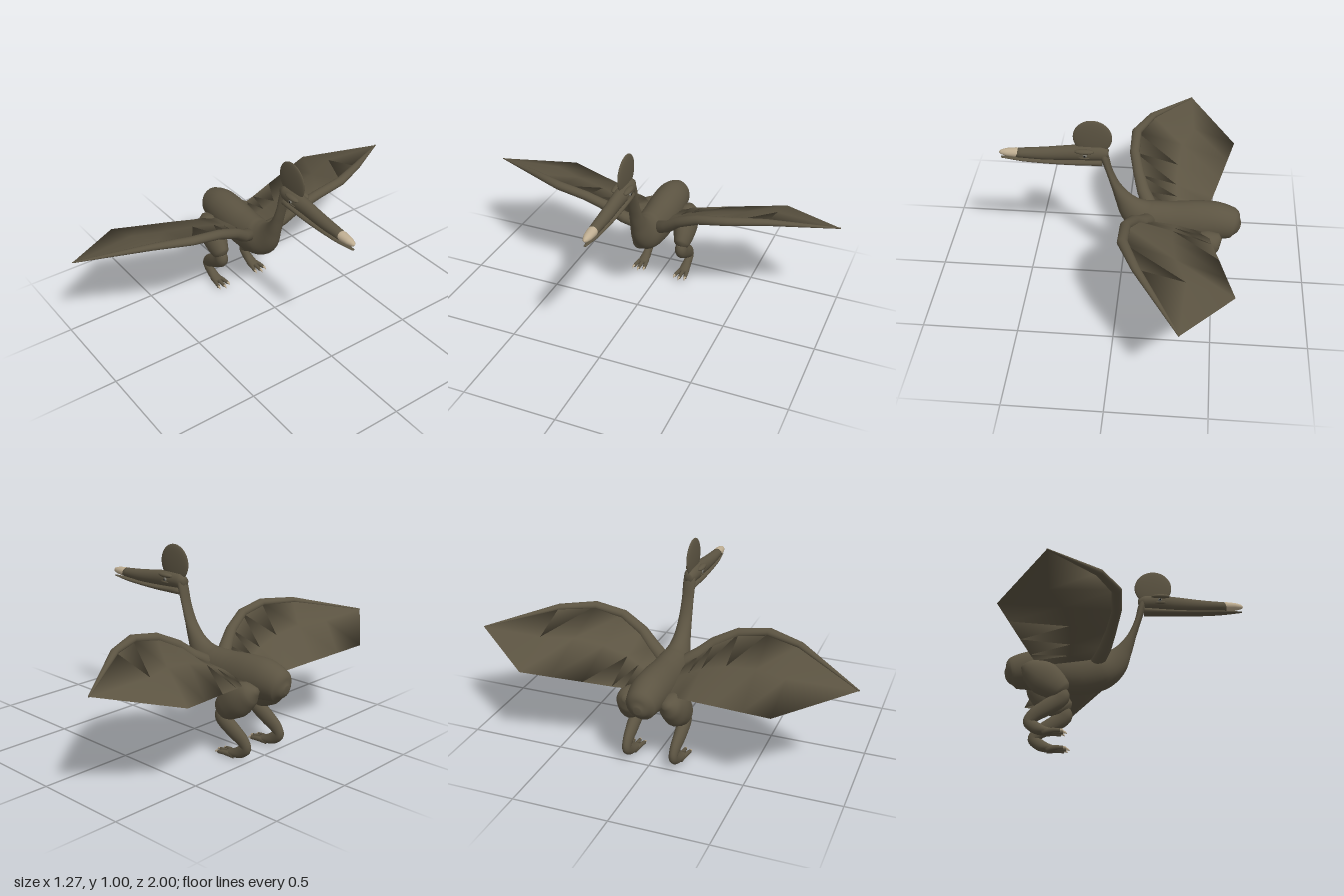
import * as THREE from 'three';

const mat = (name, color) => {
  const m = new THREE.MeshStandardMaterial({ color });
  m.name = name;
  return m;
};

// Joins rings of vertices into a closed smooth skin with end caps.
function ringGeometry(pts, rows, cols) {
  const idx = [];
  for (let i = 0; i < rows - 1; i++) {
    for (let j = 0; j < cols; j++) {
      const k = (j + 1) % cols;
      const a = i * cols + j, b = i * cols + k, c = a + cols, d = b + cols;
      idx.push(a, b, c, b, d, c);
    }
  }
  const first = rows * cols, last = first + 1, end = (rows - 1) * cols;
  for (let j = 0; j < cols; j++) {
    const k = (j + 1) % cols;
    idx.push(first, k, j, last, end + j, end + k);
  }
  const g = new THREE.BufferGeometry();
  g.setAttribute('position', new THREE.Float32BufferAttribute(pts.flatMap(p => p.toArray()), 3));
  g.setIndex(idx);
  g.computeVertexNormals();
  return g;
}

const SIDE = new THREE.Vector3(0, 0, 1), UP = new THREE.Vector3(0, 1, 0);

// Elliptical sections [x, y, z, radius, radius along ref] swept along a smooth path.
function loft(sections, { steps = 5, sides = 20, ref = SIDE } = {}) {
  const path = new THREE.CatmullRomCurve3(sections.map(s => new THREE.Vector3(s[0], s[1], s[2])));
  const radii = new THREE.CatmullRomCurve3(sections.map(s => new THREE.Vector3(s[3], s[4], 0)));
  const n = (sections.length - 1) * steps, pts = [];
  for (let i = 0; i <= n; i++) {
    const c = path.getPoint(i / n), r = radii.getPoint(i / n), t = path.getTangent(i / n);
    const normal = ref.clone().cross(t).normalize(), lateral = t.clone().cross(normal);
    for (let j = 0; j < sides; j++) {
      const a = (j / sides) * Math.PI * 2;
      pts.push(c.clone()
        .addScaledVector(normal, Math.max(r.x, 0.001) * Math.cos(a))
        .addScaledVector(lateral, Math.max(r.y, 0.001) * Math.sin(a)));
    }
  }
  pts.push(path.getPoint(0), path.getPoint(1));
  return ringGeometry(pts, n + 1, sides);
}

// Thin lens-shaped web between a leading and a trailing edge; s is the side.
function web(leading, trailing, thickness, s) {
  const pts = [], middles = [];
  leading.forEach((l, i) => {
    const a = new THREE.Vector3(l[0], l[1], l[2] * s);
    const b = new THREE.Vector3(trailing[i][0], trailing[i][1], trailing[i][2] * s);
    const middle = a.clone().lerp(b, 0.5);
    const h = i < leading.length - 1 ? thickness * s : 0;
    pts.push(a, middle.clone().addScaledVector(UP, h), b, middle.clone().addScaledVector(UP, -h));
    middles.push(middle);
  });
  pts.push(middles[0], middles[middles.length - 1]);
  return ringGeometry(pts, leading.length, 4);
}

export function createModel() {
  const model = new THREE.Group();
  model.name = 'flyingReptile';
  const skin = mat('brown skin', 0x5c5442);
  const horn = mat('pale horn', 0xbfae92);
  const iris = mat('grey eye', 0x77756c);
  const dark = mat('dark pupil', 0x15130f);

  const add = (name, geometry, material, parent = model) => {
    const m = new THREE.Mesh(geometry, material);
    m.name = name;
    parent.add(m);
  };
  const ellipsoid = (name, [x, y, z], size, material) => {
    const g = new THREE.SphereGeometry(1, 32, 20).scale(...size).translate(x, y, z);
    add(name, g, material);
  };

  // Body and neck in one sweep
  add('bodyAndNeck', loft([
    [-0.634, 0.388, 0, 0.02, 0.02], [-0.62, 0.39, 0, 0.05, 0.045],
    [-0.592, 0.397, 0, 0.085, 0.076], [-0.5, 0.41, 0, 0.106, 0.092],
    [-0.4, 0.403, 0, 0.114, 0.095], [-0.25, 0.39, 0, 0.115, 0.09],
    [-0.135, 0.408, 0, 0.103, 0.083], [-0.067, 0.452, 0, 0.08, 0.06],
    [-0.015, 0.522, 0, 0.046, 0.043], [0.029, 0.61, 0, 0.023, 0.035],
    [0.061, 0.7, 0, 0.017, 0.032], [0.083, 0.78, 0, 0.021, 0.033],
    [0.098, 0.82, 0, 0.025, 0.03],
  ], { sides: 28 }), skin);

  // Head
  add('skullAndUpperBeak', loft([
    [0.065, 0.808, 0, 0.022, 0.02], [0.1, 0.809, 0, 0.04, 0.035],
    [0.18, 0.808, 0, 0.042, 0.039], [0.26, 0.802, 0, 0.041, 0.034],
    [0.4, 0.79, 0, 0.034, 0.031], [0.54, 0.786, 0, 0.024, 0.026],
  ]), skin);
  add('beakTip', loft([
    [0.515, 0.789, 0, 0.02, 0.022], [0.54, 0.787, 0, 0.0245, 0.0265],
    [0.59, 0.786, 0, 0.02, 0.022], [0.62, 0.785, 0, 0.012, 0.012],
    [0.63, 0.785, 0, 0.002, 0.002],
  ]), horn);
  add('lowerJaw', loft([
    [0.097, 0.756, 0, 0.021, 0.03], [0.3, 0.747, 0, 0.014, 0.028],
    [0.5, 0.749, 0, 0.01, 0.022], [0.622, 0.754, 0, 0.003, 0.007],
  ]), skin);
  ellipsoid('crest', [0.145, 0.9, 0], [0.1, 0.1, 0.014], skin);

  // Wing edges, from the body out to the shared tip
  const arm = [
    [-0.155, 0.432, 0.05, 0.04, 0.035], [-0.11, 0.48, 0.13, 0.035, 0.032],
    [-0.08, 0.54, 0.2, 0.03, 0.028], [-0.048, 0.6, 0.32, 0.027, 0.025],
    [-0.047, 0.628, 0.48, 0.027, 0.022], [-0.125, 0.622, 0.66, 0.021, 0.017],
    [-0.343, 0.545, 1, 0.004, 0.003],
  ];
  const trailing = [
    [-0.455, 0.4, 0.08], [-0.47, 0.405, 0.14], [-0.485, 0.41, 0.2], [-0.522, 0.428, 0.34],
    [-0.562, 0.446, 0.5], [-0.6, 0.464, 0.65], [-0.343, 0.545, 1],
  ];

  for (const s of [1, -1]) {
    const side = s > 0 ? 'left' : 'right';

    // Eye between brow and lower lid
    ellipsoid(side + 'Brow', [0.185, 0.832, 0.032 * s], [0.05, 0.013, 0.018], skin);
    ellipsoid(side + 'LowerLid', [0.185, 0.795, 0.031 * s], [0.035, 0.008, 0.01], skin);
    ellipsoid(side + 'Eye', [0.181, 0.81, 0.036 * s], [0.012, 0.01, 0.01], iris);
    ellipsoid(side + 'Pupil', [0.182, 0.81, 0.0425 * s], [0.006, 0.006, 0.0045], dark);

    // Wing: arm along the leading edge, thin membrane behind it
    const wing = new THREE.Group();
    wing.name = side + 'Wing';
    model.add(wing);
    const sided = arm.map(([x, y, z, a, b]) => [x, y, z * s, a, b]);
    add('wingArm', loft(sided, { steps: 1, sides: 16, ref: UP }), skin, wing);
    add('wingMembrane', web(arm, trailing, 0.009, s), skin, wing);

    // Leg: thigh, shin running into the foot, toes with claws
    const leg = new THREE.Group();
    leg.name = side + 'Leg';
    model.add(leg);
    add('thigh', loft([
      [-0.53, 0.385, 0.1 * s, 0.015, 0.02], [-0.49, 0.362, 0.11 * s, 0.062, 0.058],
      [-0.42, 0.316, 0.12 * s, 0.09, 0.066], [-0.36, 0.268, 0.128 * s, 0.075, 0.054],
      [-0.325, 0.24, 0.13 * s, 0.056, 0.04], [-0.312, 0.228, 0.13 * s, 0.025, 0.02],
    ]), skin, leg);
    add('shinAndFoot', loft([
      [-0.325, 0.245, 0.13 * s, 0.03, 0.026], [-0.328, 0.202, 0.13 * s, 0.043, 0.034],
      [-0.4, 0.15, 0.13 * s, 0.042, 0.031], [-0.464, 0.108, 0.128 * s, 0.036, 0.025],
      [-0.486, 0.075, 0.127 * s, 0.029, 0.022], [-0.455, 0.047, 0.127 * s, 0.031, 0.023],
      [-0.41, 0.028, 0.127 * s, 0.024, 0.028], [-0.365, 0.023, 0.127 * s, 0.014, 0.028],
    ]), skin, leg);
    for (const k of [-1, 0, 1]) {
      const z = d => (0.127 + k * d) * s, reach = k === 0 ? 0.012 : 0;
      add('toe', loft([
        [-0.415, 0.018, z(0.014), 0.016, 0.012], [-0.36, 0.022, z(0.025), 0.013, 0.011],
        [-0.325 + reach, 0.019, z(0.031), 0.01, 0.009],
      ], { steps: 3, sides: 10 }), skin, leg);
      add('claw', loft([
        [-0.33 + reach, 0.02, z(0.03), 0.008, 0.007], [-0.318 + reach, 0.021, z(0.032), 0.007, 0.006],
        [-0.305 + reach, 0.012, z(0.033), 0.001, 0.001],
      ], { steps: 3, sides: 8 }), horn, leg);
    }
  }
  return model;
}
